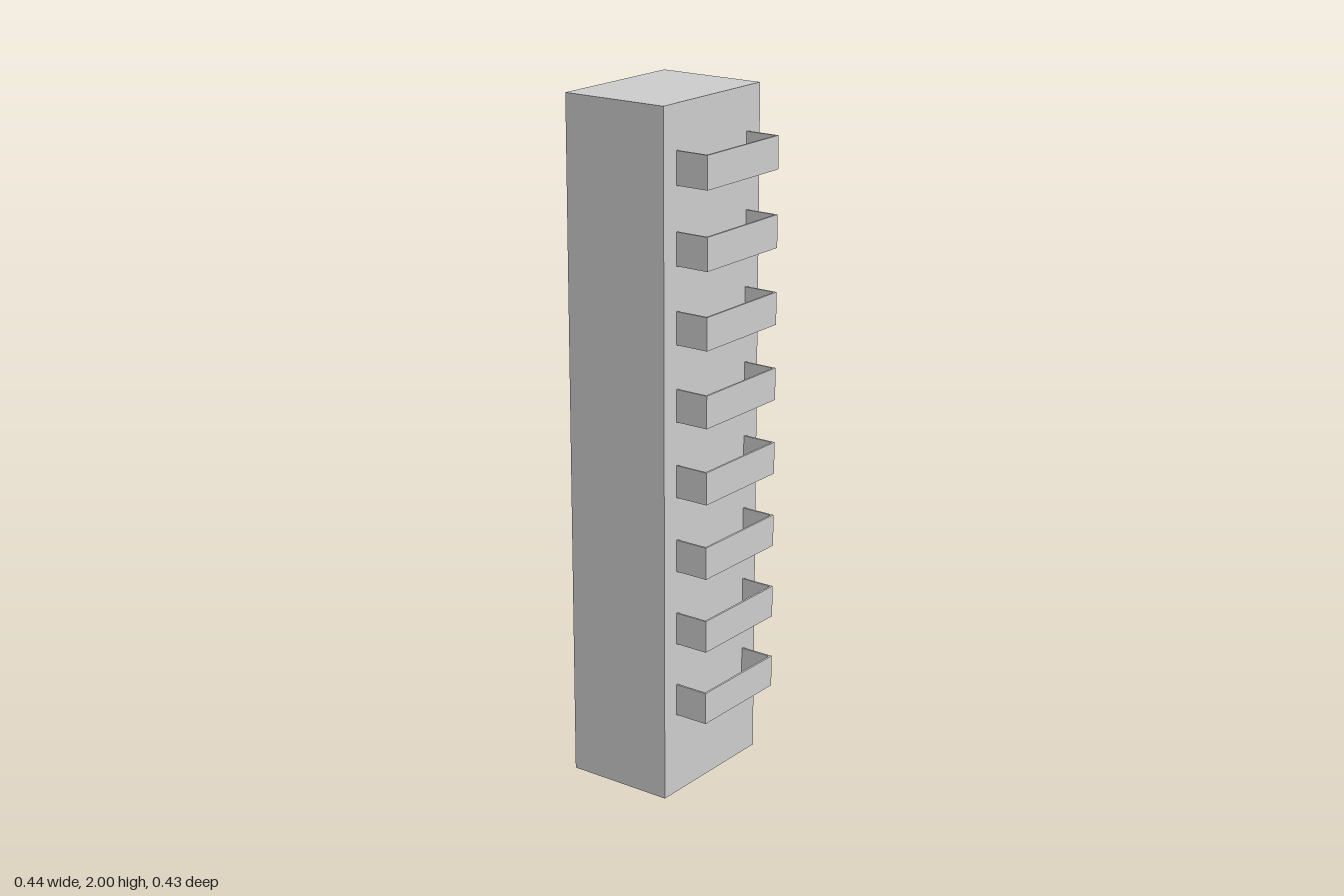
import * as THREE from 'three';

const mat = new THREE.MeshStandardMaterial({ color: 0xcccccc, flatShading: true });
const openMat = new THREE.MeshStandardMaterial({ color: 0xcccccc, flatShading: true, side: THREE.DoubleSide });

function box(name, w, h, d, x, y, z) {
  const mesh = new THREE.Mesh(new THREE.BoxGeometry(w, h, d), mat);
  mesh.name = name;
  mesh.position.set(x, y, z);
  return mesh;
}

// Tall column: a thin shell with no floor
function createColumn() {
  const geo = new THREE.BoxGeometry(0.438, 2, 0.329);
  const index = Array.from(geo.index.array);
  index.splice(18, 6); // drop the bottom face
  geo.setIndex(index);
  geo.clearGroups();
  const mesh = new THREE.Mesh(geo, openMat);
  mesh.name = 'column';
  mesh.position.set(0, 1, -0.0525);
  return mesh;
}

// Shallow tray, open at the top and closed behind by the column
function createTray(y) {
  const w = 0.326, h = 0.094, d = 0.102, t = 0.006, back = 0.112;
  const tray = new THREE.Group();
  tray.name = 'tray';
  tray.position.set(0, y, back);
  tray.add(box('trayFront', w, h, t, 0, h / 2, d - t / 2));
  for (const s of [-1, 1]) {
    tray.add(box(s > 0 ? 'traySideLeft' : 'traySideRight', t, h, d - t, s * (w - t) / 2, h / 2, (d - t) / 2));
  }
  tray.add(box('trayFloor', w - 2 * t, t, d - t, 0, t / 2, (d - t) / 2));
  return tray;
}

export function createModel() {
  const model = new THREE.Group();
  model.name = 'trayColumn';
  model.add(createColumn());
  // Eight evenly spaced trays up the front
  for (let i = 0; i < 8; i++) model.add(createTray(0.243 + i * 0.2196));
  return model;
}
